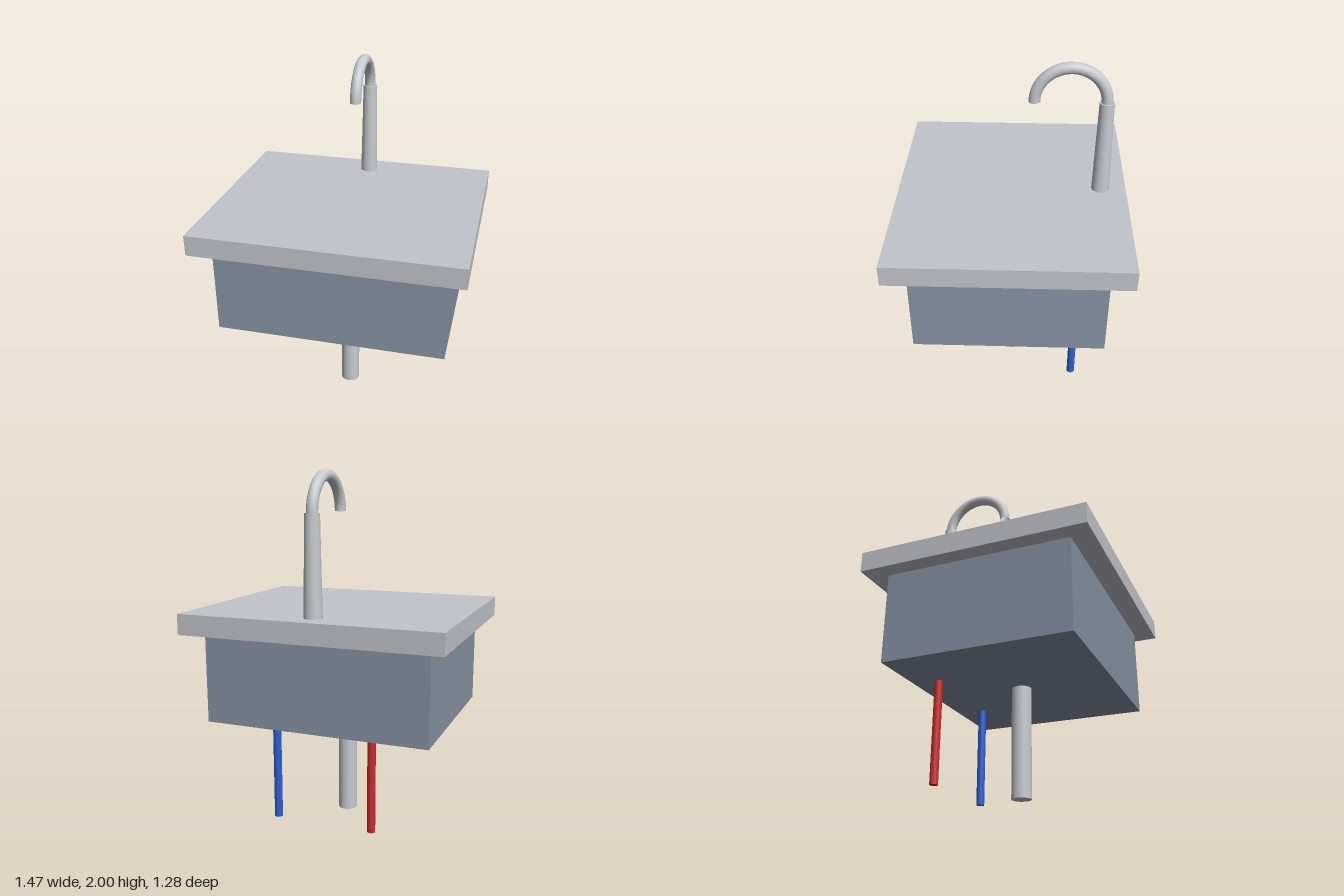
import * as THREE from 'three';

const mat = (name, color, side = THREE.FrontSide) => {
  const m = new THREE.MeshStandardMaterial({ color, side });
  m.name = name;
  return m;
};

export function createModel() {
  const model = new THREE.Group();
  model.name = 'sink';

  const stone = mat('pale grey counter', 0xc2c4cc);
  const steel = mat('blue grey basin', 0x8793a4);
  const chrome = mat('light chrome', 0xc6cbd0, THREE.DoubleSide);
  const red = mat('hot red', 0xcc2c2c);
  const blue = mat('cold blue', 0x2c5fd2);

  const add = (name, geometry, material, x, y, z) => {
    const mesh = new THREE.Mesh(geometry, material);
    mesh.name = name;
    mesh.position.set(x, y, z);
    model.add(mesh);
    return mesh;
  };
  // Box or upright cylinder spanning y0 to y1
  const box = (name, w, d, y0, y1, m) =>
    add(name, new THREE.BoxGeometry(w, y1 - y0, d), m, 0, (y0 + y1) / 2, 0);
  const pipe = (name, rTop, rBottom, y0, y1, x, z, m) =>
    add(name, new THREE.CylinderGeometry(rTop, rBottom, y1 - y0, 32), m, x, (y0 + y1) / 2, z);

  // Counter slab and the basin under it
  box('countertop', 1.468, 1.276, 1.13, 1.245, stone);
  box('basin', 1.276, 1.044, 0.62, 1.13, steel);

  // Drain and the two supply pipes
  pipe('drainPipe', 0.055, 0.055, 0, 0.62, 0, 0, chrome);
  pipe('hotPipe', 0.023, 0.023, 0.05, 0.62, -0.283, -0.375, red);
  pipe('coldPipe', 0.023, 0.023, 0.05, 0.62, 0.283, -0.375, blue);

  // Tapered tap body with a half-ring spout, open at its mouth
  pipe('tapBody', 0.04, 0.05, 1.245, 1.78, 0, -0.495, chrome);
  const spout = add('spout', new THREE.TorusGeometry(0.19, 0.031, 20, 40, Math.PI), chrome, 0, 1.78, -0.305);
  spout.rotation.y = Math.PI / 2;

  return model;
}
